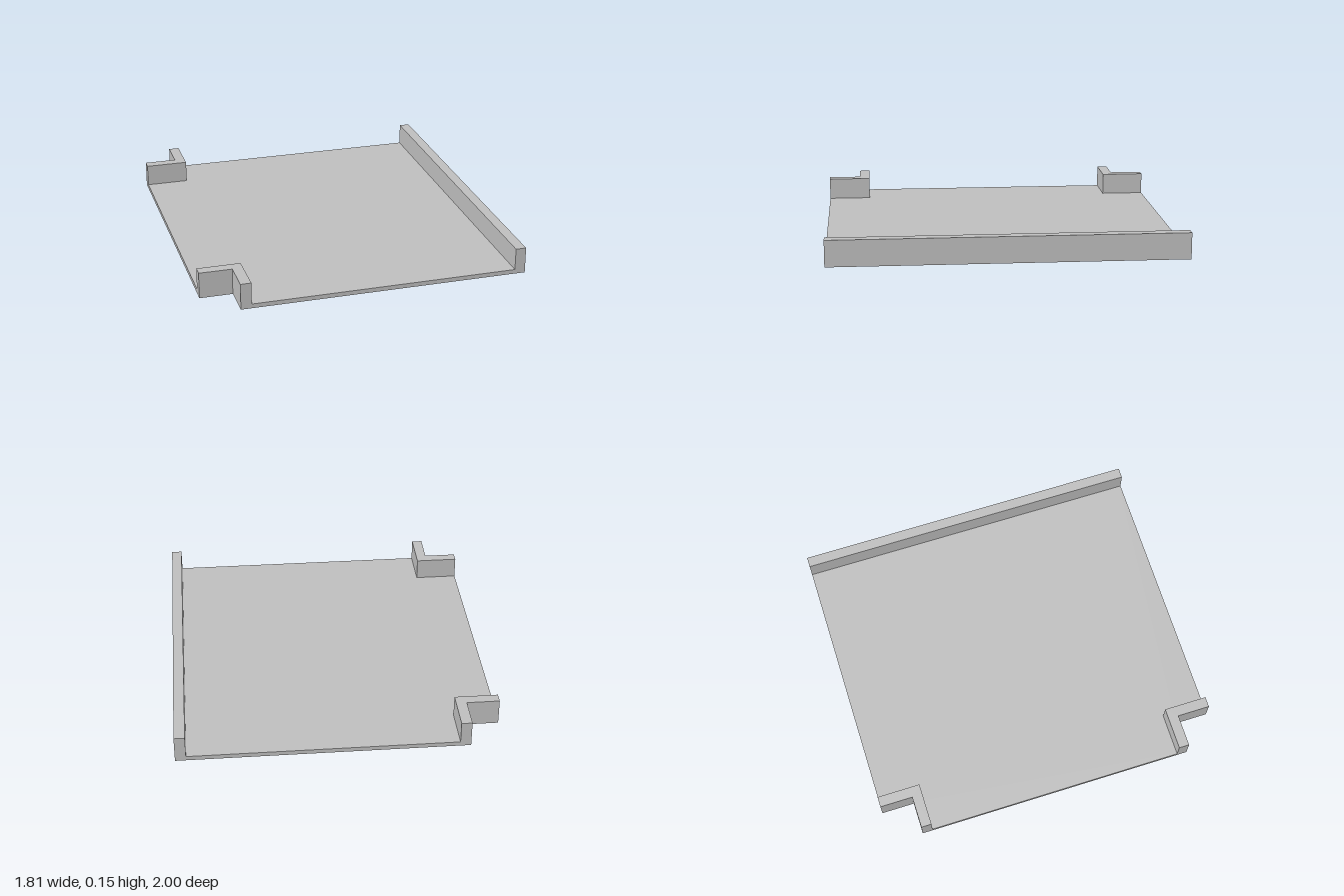
import * as THREE from 'three';

const HALF_W = 0.905, HALF_L = 1, HEIGHT = 0.15, FLOOR = 0.025, WALL = 0.06;
const NOTCH_X = -0.72, NOTCH_Z = 0.81;

// Extrudes a plan outline of [x, z] points from height y0 up to y1
function slab(name, outline, y0, y1, material) {
  const shape = new THREE.Shape(outline.map(([x, z]) => new THREE.Vector2(x, -z)));
  const geometry = new THREE.ExtrudeGeometry(shape, { depth: y1 - y0, bevelEnabled: false });
  geometry.rotateX(-Math.PI / 2).translate(0, y0, 0);
  const mesh = new THREE.Mesh(geometry, material);
  mesh.name = name;
  return mesh;
}

export function createModel() {
  const model = new THREE.Group();
  model.name = 'tray';
  const grey = new THREE.MeshStandardMaterial({ color: 0xbfbfbf });
  grey.name = 'light grey';

  // Floor plate with two notched corners
  model.add(slab('floor', [
    [HALF_W, HALF_L], [HALF_W, -HALF_L], [NOTCH_X, -HALF_L], [NOTCH_X, -NOTCH_Z],
    [-HALF_W, -NOTCH_Z], [-HALF_W, NOTCH_Z], [NOTCH_X, NOTCH_Z], [NOTCH_X, HALF_L],
  ], 0, FLOOR, grey));

  // Full-length wall along the left edge
  model.add(slab('sideWall', [
    [HALF_W - WALL, -HALF_L], [HALF_W, -HALF_L], [HALF_W, HALF_L], [HALF_W - WALL, HALF_L],
  ], FLOOR, HEIGHT, grey));

  // Mirrored L-shaped walls lining the notches
  for (const [name, s] of [['frontCornerWall', 1], ['backCornerWall', -1]]) {
    model.add(slab(name, [
      [-HALF_W, s * NOTCH_Z], [NOTCH_X, s * NOTCH_Z], [NOTCH_X, s * HALF_L],
      [NOTCH_X + WALL, s * HALF_L], [NOTCH_X + WALL, s * (NOTCH_Z - WALL)],
      [-HALF_W, s * (NOTCH_Z - WALL)],
    ], FLOOR, HEIGHT, grey));
  }
  return model;
}
